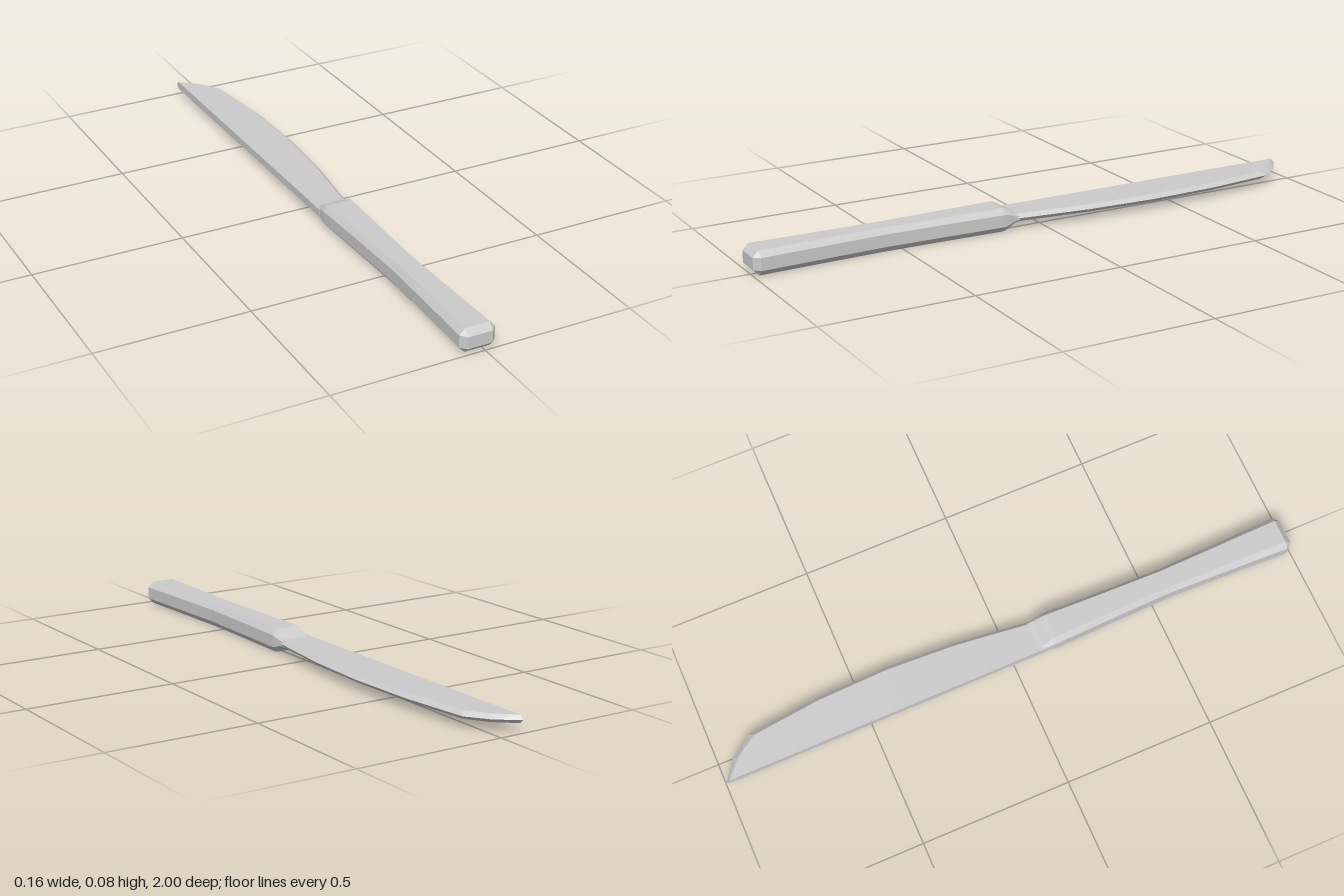
import * as THREE from 'three';

const MID = 0.0395; // height of the knife's centre plane

// Skins rings of points (counter-clockwise seen from +z, running towards -z) and caps both ends.
function loft(rows) {
  const pos = [];
  const tri = (...pts) => pts.forEach((p) => pos.push(...p));
  const n = rows[0].length;
  for (let i = 0; i < rows.length - 1; i++) {
    for (let j = 0; j < n; j++) {
      const k = (j + 1) % n;
      const a = rows[i][j], b = rows[i][k], c = rows[i + 1][k], d = rows[i + 1][j];
      tri(a, d, c);
      tri(a, c, b);
    }
  }
  const first = rows[0], last = rows[rows.length - 1];
  for (let j = 1; j < n - 1; j++) {
    tri(first[0], first[j], first[j + 1]);
    tri(last[0], last[j + 1], last[j]);
  }
  const geo = new THREE.BufferGeometry();
  geo.setAttribute('position', new THREE.Float32BufferAttribute(pos, 3));
  geo.computeVertexNormals();
  return geo;
}

// Chamfered rectangle ring for the handle: h is half height, cx and cy the chamfer.
function octagon([z, left, right, h, cx, cy]) {
  return [
    [left + cx, -h], [right - cx, -h], [right, -h + cy], [right, h - cy],
    [right - cx, h], [left + cx, h], [left, h - cy], [left, -h + cy],
  ].map(([x, y]) => [x, MID + y, z]);
}

export function createModel() {
  const knife = new THREE.Group();
  knife.name = 'knife';
  const material = new THREE.MeshStandardMaterial({ color: 0xcccccc, flatShading: true });
  const add = (name, rows) => {
    const mesh = new THREE.Mesh(loft(rows), material);
    mesh.name = name;
    knife.add(mesh);
  };

  // Handle: bevelled butt, slim waist, flared front
  const sections = [
    [1.0, -0.058, 0.024, 0.02, 0, 0],
    [0.98, -0.076, 0.042, MID, 0.018, 0.019],
    [0.77, -0.069, 0.034, MID, 0.016, 0.019],
    [0.56, -0.063, 0.027, MID, 0.014, 0.019],
    [0.35, -0.069, 0.032, MID, 0.015, 0.019],
    [0.15, -0.076, 0.039, MID, 0.016, 0.019],
  ];
  // Shoulder: eases down from the handle to the blade thickness
  for (let i = 1; i <= 6; i++) {
    const t = i / 6, s = t * t * (3 - 2 * t);
    const h = MID + (0.013 - MID) * s;
    sections.push([0.15 - 0.06 * t, -0.076 + 0.005 * s, 0.039 - 0.006 * s,
      h, 0.016 - 0.01 * s, h * 0.48]);
  }
  add('handle', sections.map(octagon));

  // Blade: [bevel x, bevel z, edge x, edge z] from shoulder to tip
  const outline = [
    [0.022, 0.12, 0.034, 0.12],
    [0.026, 0.08, 0.038, 0.08],
    [0.04, -0.04, 0.053, -0.04],
    [0.053, -0.16, 0.067, -0.16],
    [0.064, -0.39, 0.078, -0.39],
    [0.056, -0.63, 0.07, -0.635],
    [0.03, -0.86, 0.043, -0.875],
    [-0.019, -0.933, -0.01, -0.948],
    [-0.08, -0.985, -0.08, -1.0],
  ];
  const half = 0.013;
  add('blade', outline.map(([bx, bz, ex, ez]) => {
    const spine = -0.076 + 0.004 * Math.min(0, bz) / 0.985;
    return [
      [spine, MID - half, bz], [bx, MID - half, bz], [ex, MID, ez],
      [bx, MID + half, bz], [spine, MID + half, bz],
    ];
  }));

  return knife;
}
